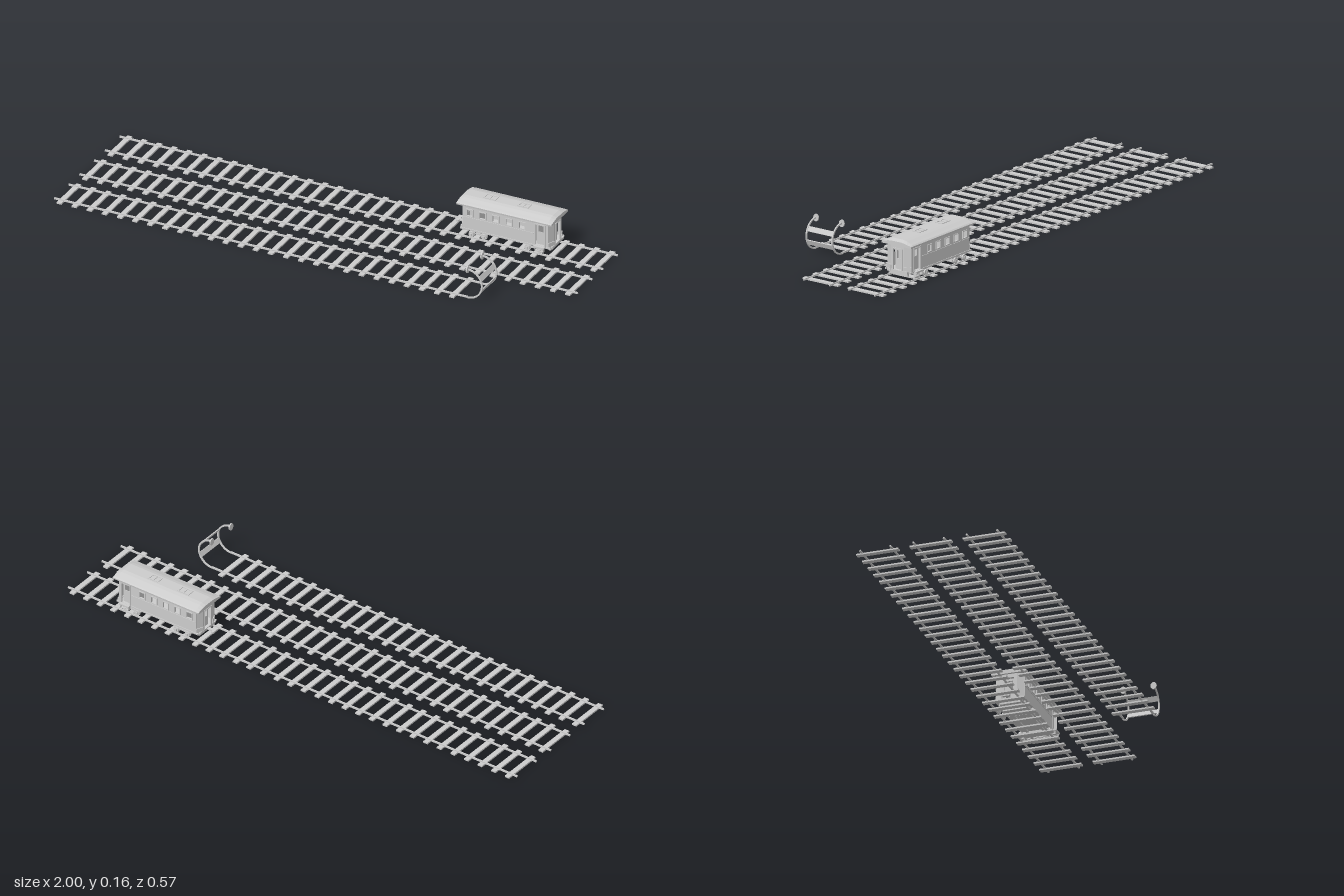
import * as THREE from 'three';

const mat = new THREE.MeshStandardMaterial({ color: 0xcccccc, flatShading: true, side: THREE.DoubleSide });
const GAUGE = 0.058, LANE = 0.203;

function add(parent, name, geo, x = 0, y = 0, z = 0) {
  const m = new THREE.Mesh(geo, mat);
  m.name = name;
  m.position.set(x, y, z);
  parent.add(m);
  return m;
}
const box = (parent, name, w, h, d, x, y, z) => add(parent, name, new THREE.BoxGeometry(w, h, d), x, y, z);
const extrude = (shape, depth, steps = 1) =>
  new THREE.ExtrudeGeometry(shape, { depth, steps, bevelEnabled: false, curveSegments: 14 });

function rectPath(P, x0, x1, y0, y1) {
  const p = new P();
  p.moveTo(x0, y0); p.lineTo(x1, y0); p.lineTo(x1, y1); p.lineTo(x0, y1); p.closePath();
  return p;
}
// Rectangular panel with rectangular openings, each given as [x0, x1, y0, y1]
function panel(outer, holes, depth) {
  const s = rectPath(THREE.Shape, ...outer);
  for (const h of holes) s.holes.push(rectPath(THREE.Path, ...h));
  return extrude(s, depth);
}

function makeTrack(z, sleepers, railEnd) {
  const g = new THREE.Group();
  g.name = 'track';
  g.position.z = z;
  for (let i = 0; i < sleepers; i++) box(g, 'sleeper', 0.02, 0.006, 0.16, -0.97 + i * 0.0606, 0.003, 0);
  for (const s of [-1, 1]) {
    const len = railEnd + 1, x = railEnd - len / 2;
    box(g, 'railFoot', len, 0.002, 0.007, x, 0.005, s * GAUGE);
    box(g, 'railHead', len, 0.005, 0.005, x, 0.0075, s * GAUGE);
  }
  return g;
}

// Rails curled up and back, joined by two plates, with a buffer pad on each tip
function makeBufferStop() {
  const g = new THREE.Group();
  g.name = 'bufferStop';
  g.position.set(0.66, 0.062, LANE);
  const R = 0.06, r = 0.054;
  const arc = new THREE.Shape();
  arc.absarc(0, 0, R, -Math.PI / 2, Math.PI / 2, false);
  arc.absarc(0, 0, r, Math.PI / 2, -Math.PI / 2, true);
  for (const s of [-1, 1]) {
    add(g, 'curledRail', extrude(arc, 0.005), 0, 0, s * GAUGE - 0.0025);
    const pad = add(g, 'bufferPad', new THREE.CylinderGeometry(0.0115, 0.0115, 0.005, 14), 0, 0.056, s * GAUGE);
    pad.rotation.z = Math.PI / 2;
    pad.scale.x = 1.2;
  }
  for (const a of [0.5, -0.42]) {
    const p = box(g, 'crossPlate', 0.004, 0.02, 0.12, Math.cos(a) * 0.056, Math.sin(a) * 0.056, 0);
    p.rotation.z = a;
  }
  return g;
}

function makeRoof() {
  const s = new THREE.Shape();
  const half = [[0.066, 0.133], [0.067, 0.139], [0.062, 0.143], [0.05, 0.147], [0.036, 0.152], [0.022, 0.155]];
  half.forEach(([z, y], i) => (i ? s.lineTo(z, y) : s.moveTo(z, y)));
  [...half].reverse().forEach(([z, y]) => s.lineTo(-z, y));
  s.closePath();
  const L = 0.382, geo = extrude(s, L, 24), p = geo.attributes.position;
  // Droop the crown towards both ends
  for (let i = 0; i < p.count; i++) {
    const e = Math.min(p.getZ(i), L - p.getZ(i));
    if (e < 0.012 && p.getY(i) > 0.139) p.setY(i, 0.139 + (p.getY(i) - 0.139) * 0.6);
  }
  geo.rotateY(Math.PI / 2);
  geo.translate(-L / 2, 0, 0);
  geo.computeVertexNormals();
  return geo;
}

function makeBogie(x) {
  const g = new THREE.Group();
  g.name = 'bogie';
  g.position.x = x;
  box(g, 'bolster', 0.018, 0.01, 0.1, 0, 0.026, 0);
  for (const s of [-1, 1]) {
    box(g, 'bogieFrame', 0.075, 0.006, 0.004, 0, 0.023, s * 0.05);
    for (const a of [-1, 1]) {
      const w = add(g, 'wheel', new THREE.CylinderGeometry(0.0105, 0.0105, 0.006, 16), a * 0.025, 0.0205, s * 0.057);
      w.rotation.x = Math.PI / 2;
      const f = add(g, 'wheelFlange', new THREE.CylinderGeometry(0.0125, 0.0125, 0.002, 16), a * 0.025, 0.0205, s * 0.053);
      f.rotation.x = Math.PI / 2;
      box(g, 'axleBox', 0.009, 0.009, 0.005, a * 0.025, 0.021, s * 0.0615);
    }
  }
  for (const a of [-1, 1]) {
    const axle = add(g, 'axle', new THREE.CylinderGeometry(0.002, 0.002, 0.112, 8), a * 0.025, 0.0205, 0);
    axle.rotation.x = Math.PI / 2;
  }
  return g;
}

function makeCarriage() {
  const g = new THREE.Group();
  g.name = 'carriage';
  g.position.set(0.605, 0, -LANE);
  const windows = [-0.142, -0.09, -0.038, 0.015, 0.068];
  const openings = windows.map(x => [x - 0.011, x + 0.011, 0.092, 0.116]);
  const door = [0.122, 0.158, 0.04, 0.122];

  // Side walls with see-through windows and a recessed door
  for (const s of [-1, 1]) {
    const side = new THREE.Group();
    side.name = 'side';
    side.rotation.y = s < 0 ? Math.PI : 0;
    side.scale.x = s;
    g.add(side);
    add(side, 'sideWall', panel([-0.172, 0.17, 0.036, 0.135], [...openings, door], 0.004), 0, 0, 0.051);
    for (const [a, b, c, d] of openings)
      add(side, 'windowFrame', panel([a - 0.003, b + 0.003, c - 0.003, d + 0.003], [[a, b, c, d]], 0.003), 0, 0, 0.055);
    add(side, 'doorFrame', panel([0.118, 0.162, 0.036, 0.126], [door], 0.003), 0, 0, 0.055);
    add(side, 'sideDoor', panel(door, [[0.13, 0.15, 0.09, 0.115]], 0.002), 0, 0, 0.045);
    box(side, 'waistRail', 0.286, 0.003, 0.002, -0.028, 0.084, 0.056);
    box(side, 'sill', 0.362, 0.006, 0.005, 0, 0.036, 0.055);
    box(side, 'upperStep', 0.042, 0.006, 0.018, 0.14, 0.0365, 0.06);
    box(side, 'lowerStep', 0.036, 0.003, 0.012, 0.14, 0.021, 0.06);
    for (const x of [0.123, 0.157]) box(side, 'stepHanger', 0.002, 0.016, 0.012, x, 0.028, 0.06);
  }

  // Three-sided ends with a recessed door
  for (const s of [-1, 1]) {
    const end = new THREE.Group();
    end.name = 'end';
    end.rotation.y = s * Math.PI / 2;
    g.add(end);
    const hole = [-0.018, 0.018, 0.036, 0.118];
    add(end, 'endWall', panel([-0.029, 0.029, 0.034, 0.135], [hole], 0.004), 0, 0, 0.179);
    add(end, 'endDoorFrame', panel([-0.022, 0.022, 0.034, 0.122], [hole], 0.003), 0, 0, 0.182);
    add(end, 'endDoor', panel(hole, [[-0.01, 0.01, 0.08, 0.11]], 0.002), 0, 0, 0.17);
    box(end, 'endSill', 0.09, 0.008, 0.012, 0, 0.036, 0.179);
    box(end, 'bufferBeam', 0.08, 0.012, 0.01, 0, 0.026, 0.172);
    for (const t of [-1, 1]) {
      const wall = box(end, 'angledEndWall', 0.0285, 0.1, 0.004, t * 0.041, 0.085, 0.175);
      wall.rotation.y = t * 0.42;
      const trim = box(end, 'angledSill', 0.03, 0.022, 0.006, t * 0.041, 0.045, 0.177);
      trim.rotation.y = t * 0.42;
    }
  }

  // Inner partitions close off the vestibule and the rear cabin
  box(g, 'partition', 0.003, 0.098, 0.102, 0.108, 0.085, 0);
  box(g, 'partition', 0.003, 0.098, 0.102, -0.116, 0.085, 0);
  box(g, 'cabinWall', 0.052, 0.098, 0.003, -0.143, 0.085, 0);
  box(g, 'floor', 0.35, 0.005, 0.108, 0, 0.036, 0);

  // Underframe
  for (const z of [-0.03, 0.03]) box(g, 'soleBar', 0.34, 0.008, 0.008, 0, 0.03, z);
  for (let i = 0; i < 7; i++) box(g, 'crossBeam', 0.006, 0.006, 0.1, -0.15 + i * 0.05, 0.031, 0);
  box(g, 'coupler', 0.04, 0.005, 0.012, -0.198, 0.035, 0);
  box(g, 'couplerHead', 0.01, 0.007, 0.028, -0.214, 0.035, 0);
  g.add(makeBogie(-0.11), makeBogie(0.115));

  // Roof and its vents
  add(g, 'roof', makeRoof());
  for (const [x, w] of [[-0.084, 0.05], [0.05, 0.045]]) {
    const vent = panel([-w / 2, w / 2, -0.016, 0.016], [[-w / 2 + 0.005, -0.002, -0.012, 0.012], [0.002, w / 2 - 0.005, -0.012, 0.012]], 0.003);
    add(g, 'roofVent', vent, x, 0.154, 0).rotation.x = -Math.PI / 2;
  }
  return g;
}

export function createModel() {
  const model = new THREE.Group();
  model.name = 'railwayYard';
  model.add(makeTrack(-LANE, 33, 1), makeTrack(0, 33, 1), makeTrack(LANE, 27, 0.66));
  model.add(makeBufferStop(), makeCarriage());
  return model;
}
